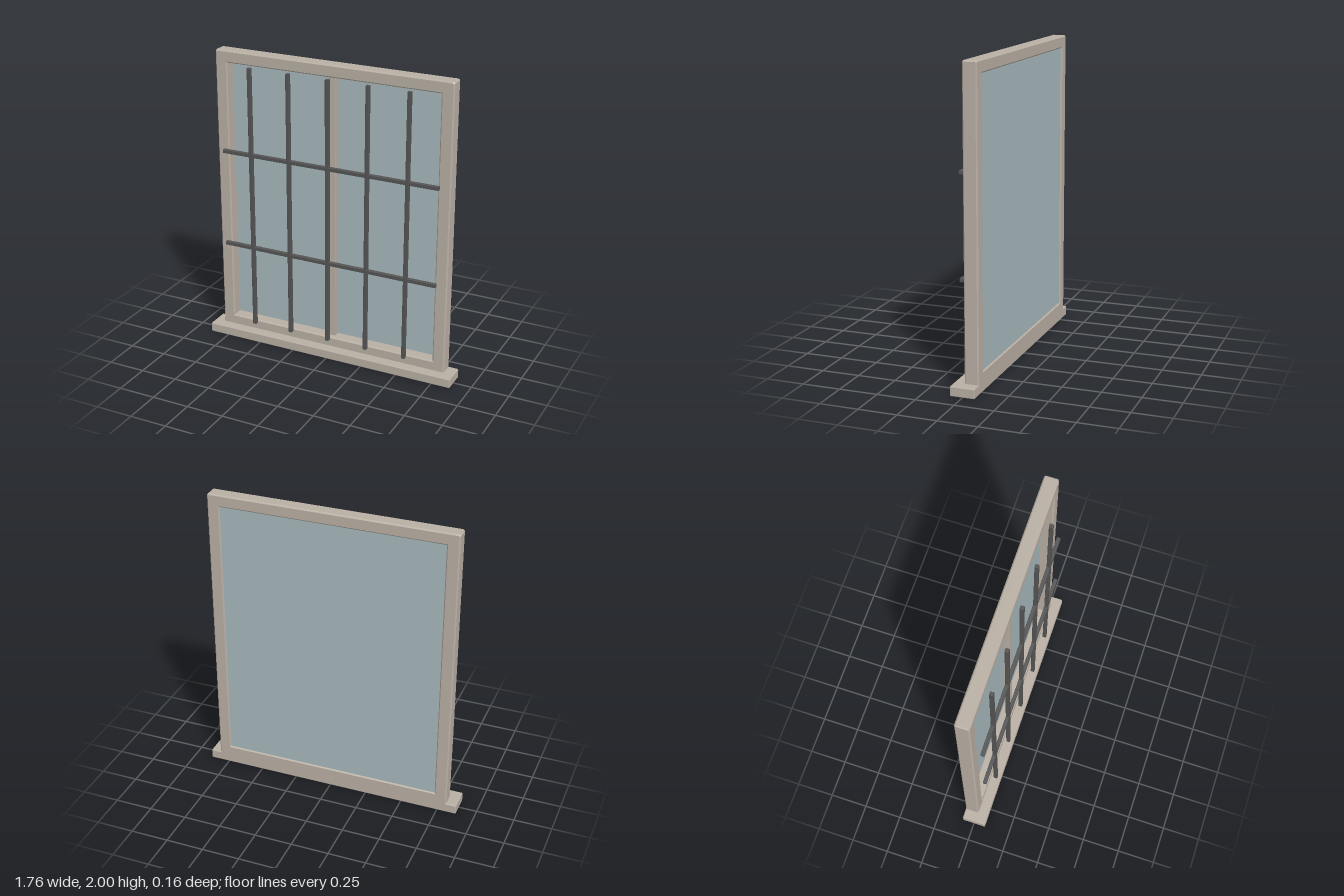
import * as THREE from 'three';
import { RoundedBoxGeometry } from 'three/addons/geometries/RoundedBoxGeometry.js';

const paint = (name, color) => {
  const m = new THREE.MeshStandardMaterial({ color });
  m.name = name;
  return m;
};

// Box with eased edges, given by its lower and upper corners
function easedBox(name, material, min, max, radius) {
  const size = max.map((v, i) => v - min[i]);
  const mesh = new THREE.Mesh(new RoundedBoxGeometry(...size, 1, radius), material);
  mesh.position.set(...max.map((v, i) => (v + min[i]) / 2));
  mesh.name = name;
  return mesh;
}

// Rectangle outline with clipped corners
function outline(path, halfWidth, bottom, top, clip) {
  const w = halfWidth, c = clip;
  return path.setFromPoints([
    [-w + c, bottom], [w - c, bottom], [w, bottom + c], [w, top - c],
    [w - c, top], [-w + c, top], [-w, top - c], [-w, bottom + c],
  ].map(([x, y]) => new THREE.Vector2(x, y)));
}

export function createModel() {
  const group = new THREE.Group();
  group.name = 'barredWindow';
  const stone = paint('warm grey frame', 0xb9afa4);
  const glass = paint('pale blue glass', 0xa8b8bc);
  const iron = paint('dark iron', 0x555555);

  // Surround with chamfered edges
  const bevel = 0.008;
  const shape = outline(new THREE.Shape(), 0.812 - bevel, 0.045, 2 - bevel, 0.004);
  const hole = new THREE.Path().setFromPoints([
    [-0.738, 0.122], [-0.738, 1.928], [0.738, 1.928], [0.738, 0.122],
  ].map(([x, y]) => new THREE.Vector2(x, y)));
  shape.holes.push(hole);
  const frameGeometry = new THREE.ExtrudeGeometry(shape, {
    depth: 0.092 - 2 * bevel, bevelEnabled: true, bevelSegments: 1,
    bevelSize: bevel, bevelThickness: bevel,
  });
  const frame = new THREE.Mesh(frameGeometry, stone);
  frame.position.z = -0.08 + bevel;
  frame.name = 'frame';
  group.add(frame);

  // Projecting sill
  group.add(easedBox('sill', stone, [-0.88, 0, -0.08], [0.88, 0.065, 0.08], 0.008));

  // Pane near the back, with a central post in front of it
  const pane = new THREE.Mesh(new THREE.BoxGeometry(1.48, 1.81, 0.008), glass);
  pane.position.set(0, 1.025, -0.068);
  pane.name = 'pane';
  group.add(pane);
  group.add(easedBox('centrePost', stone, [-0.022, 0.12, -0.066], [0.022, 1.93, -0.02], 0.003));

  // Security grille
  const grille = new THREE.Group();
  grille.name = 'grille';
  const r = 0.0125;
  for (let i = -2; i <= 2; i++) {
    const x = i * 0.273;
    grille.add(easedBox('uprightBar', iron, [x - r, 0.125, 0.037], [x + r, 1.92, 0.062], 0.003));
  }
  for (const y of [0.687, 1.338]) {
    grille.add(easedBox('crossBar', iron, [-0.752, y - r, 0.037], [0.752, y + r, 0.062], 0.003));
  }
  group.add(grille);
  return group;
}
